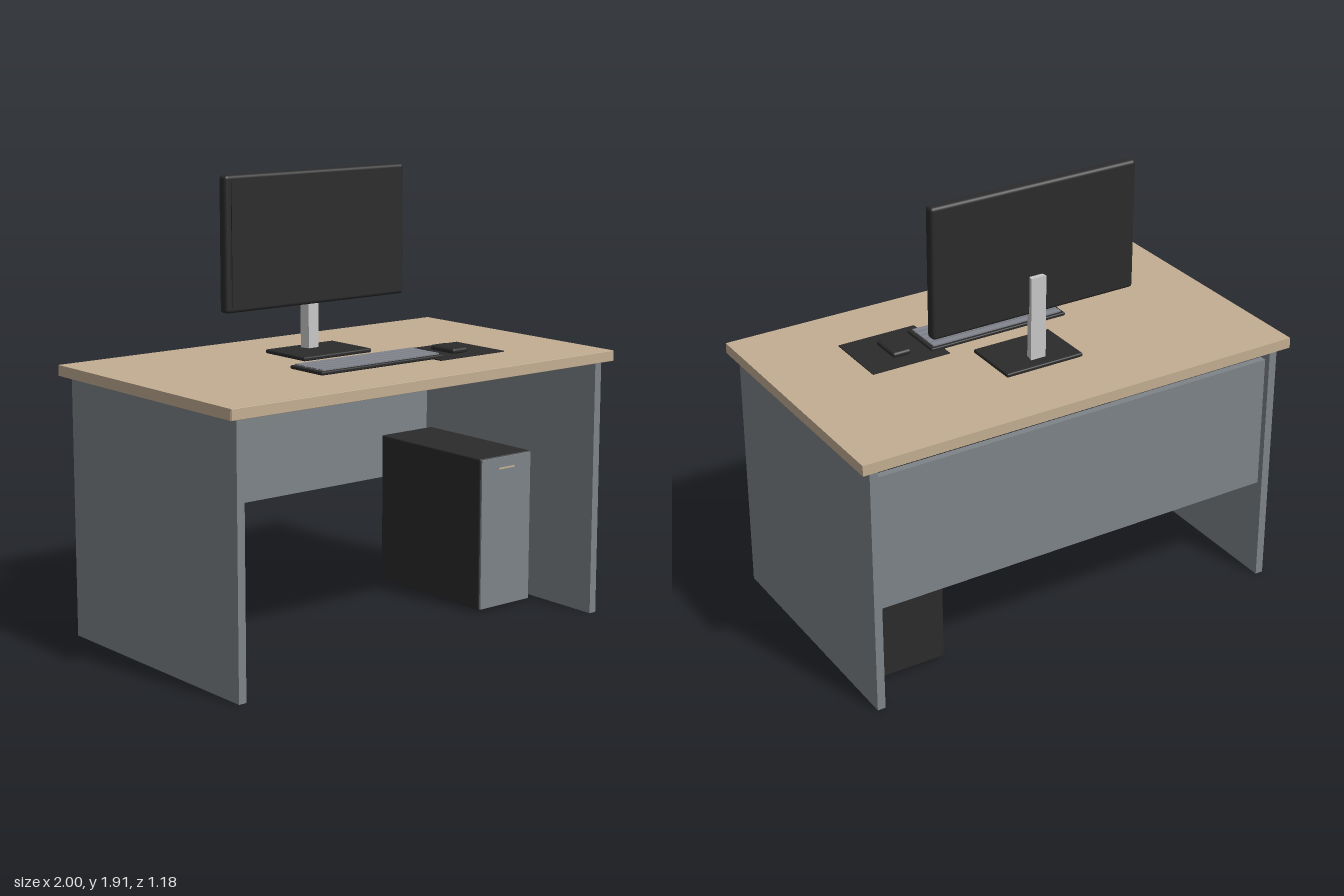
import * as THREE from 'three';
import { RoundedBoxGeometry } from 'three/addons/geometries/RoundedBoxGeometry.js';

const mat = (name, color) => {
  const m = new THREE.MeshStandardMaterial({ color });
  m.name = name;
  return m;
};

export function createModel() {
  const wood = mat('wood', 0xc3ae92);
  const grey = mat('panelGrey', 0x7e8488);
  const black = mat('black', 0x2b2b2b);
  const keyGrey = mat('keyGrey', 0x83868e);
  const silver = mat('silver', 0xc8c8c8);
  const model = new THREE.Group();
  model.name = 'deskWithComputer';

  const add = (name, geometry, material, parent = model) => {
    const mesh = new THREE.Mesh(geometry, material);
    mesh.name = name;
    parent.add(mesh);
    return mesh;
  };
  // Box given by its limits on each axis, rounded when r > 0
  const box = (name, material, [x0, x1], [y0, y1], [z0, z1], r = 0, parent = model) => {
    const size = [x1 - x0, y1 - y0, z1 - z0];
    const g = r ? new RoundedBoxGeometry(...size, 3, r) : new THREE.BoxGeometry(...size);
    g.translate((x0 + x1) / 2, (y0 + y1) / 2, (z0 + z1) / 2);
    return add(name, g, material, parent);
  };
  const group = (name) => {
    const g = new THREE.Group();
    g.name = name;
    model.add(g);
    return g;
  };

  // Desk
  const desk = group('desk');
  box('desktop', wood, [-1, 1], [1.1, 1.145], [-0.592, 0.586], 0, desk);
  box('frontEdge', wood, [-1, 1], [1.1, 1.145], [0.586, 0.592], 0.002, desk);
  box('rightSidePanel', grey, [-0.957, -0.922], [0, 1.1], [-0.562, 0.562], 0, desk);
  box('leftSidePanel', grey, [0.922, 0.957], [0, 1.1], [-0.562, 0.562], 0, desk);
  box('backPanel', grey, [-0.922, 0.922], [0.45, 1.04], [-0.535, -0.505], 0, desk);

  // Computer tower under the desk
  const tower = group('computerTower');
  box('towerCase', black, [0.553, 0.848], [0.01, 0.678], [-0.39, 0.255], 0.006, tower);
  box('towerFront', grey, [0.558, 0.843], [0.015, 0.673], [0.255, 0.263], 0, tower);
  box('towerAccent', wood, [0.655, 0.745], [0.621, 0.628], [0.263, 0.266], 0, tower);

  // Monitor with stand
  const monitor = group('monitor');
  box('monitorBody', black, [-0.472, 0.472], [1.353, 1.912], [-0.205, -0.155], 0.015, monitor);
  box('screen', black, [-0.445, 0.445], [1.38, 1.885], [-0.157, -0.15], 0, monitor);
  box('standBase', black, [-0.18, 0.18], [1.145, 1.162], [-0.282, -0.02], 0.006, monitor);
  const section = new THREE.Shape([
    [-0.035, 0.228], [0.035, 0.228], [0.026, 0.185], [-0.026, 0.185],
  ].map(([x, y]) => new THREE.Vector2(x, y)));
  const column = new THREE.ExtrudeGeometry(section, { depth: 0.362, bevelEnabled: false });
  column.rotateX(-Math.PI / 2).translate(0, 1.16, 0);
  add('standColumn', column, silver, monitor);

  // Keyboard with five rows of keys
  const keyboard = group('keyboard');
  box('keyboardBase', black, [-0.326, 0.322], [1.145, 1.16], [0.073, 0.277], 0.005, keyboard);
  for (let i = 0; i < 5; i++) {
    const z = 0.101 + i * 0.037;
    box('keyRow' + (i + 1), keyGrey, [-0.312, 0.306], [1.158, 1.166], [z - 0.014, z + 0.014], 0, keyboard);
  }

  // Mouse on its mat
  box('mouseMat', black, [0.265, 0.62], [1.145, 1.149], [0.025, 0.322]);
  box('mouse', black, [0.4, 0.485], [1.146, 1.17], [0.1, 0.247], 0.011);
  return model;
}
